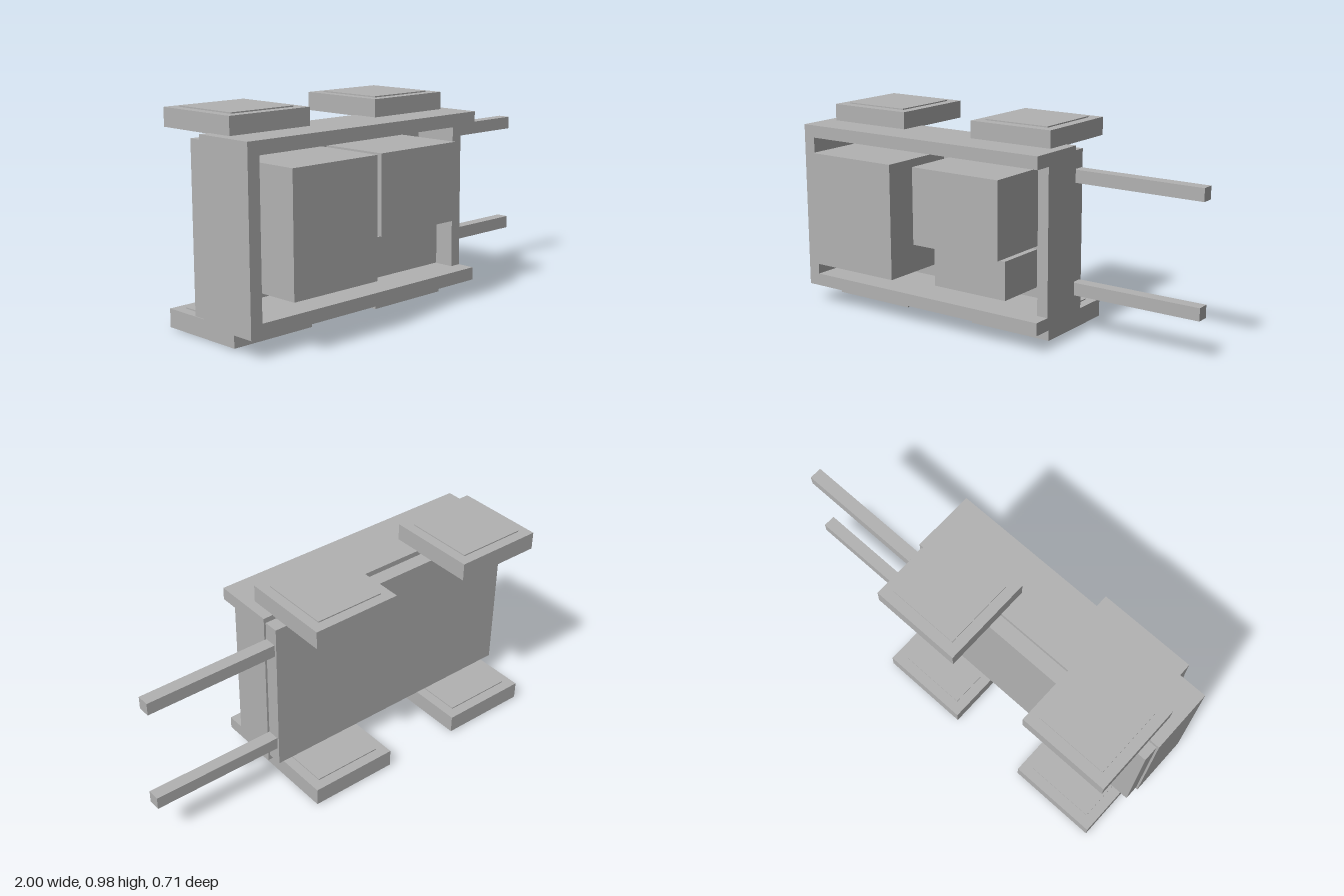
import * as THREE from 'three';

const grey = new THREE.MeshStandardMaterial({ color: 0xb2b2b2 });
grey.name = 'grey';

// Box given by its extents along each axis
function box(name, [x0, x1], [y0, y1], [z0, z1]) {
  const mesh = new THREE.Mesh(new THREE.BoxGeometry(x1 - x0, y1 - y0, z1 - z0), grey);
  mesh.position.set((x0 + x1) / 2, (y0 + y1) / 2, (z0 + z1) / 2);
  mesh.name = name;
  return mesh;
}

// Square wheel with a slightly proud hub plate on both faces
function wheel(name, x, y) {
  const group = new THREE.Group();
  group.name = name;
  group.add(
    box('tyre', [-0.218, 0.218], [-0.0425, 0.0425], [-0.22, 0.22]),
    box('hub', [-0.17, 0.17], [-0.048, 0.048], [-0.17, 0.17])
  );
  group.position.set(x, y, -0.135);
  return group;
}

export function createModel() {
  const cart = new THREE.Group();
  cart.name = 'cart';

  // Cart bed
  cart.add(box('bed', [-0.99, 0.355], [0.112, 0.868], [-0.12, -0.048]));

  // Side walls, tall end wall and lower end wall by the handles
  const depth = [-0.048, 0.256];
  cart.add(
    box('upperWall', [-1, 0.365], [0.833, 0.893], depth),
    box('lowerWall', [-1, 0.365], [0.087, 0.147], depth),
    box('tallEndWall', [-1, -0.94], [0.147, 0.833], depth),
    box('lowEndWall', [0.31, 0.365], [0.147, 0.833], [-0.048, 0.17])
  );

  // Cargo
  cart.add(
    box('largeCrate', [-0.855, -0.38], [0.237, 0.783], [-0.048, 0.355]),
    box('mediumCrate', [-0.295, 0.183], [0.408, 0.773], [-0.048, 0.296]),
    box('smallCrate', [-0.242, 0.16], [0.198, 0.382], [-0.048, 0.207])
  );

  // Handles and wheels, mirrored about the cart's middle plane
  for (const side of [-1, 1]) {
    const y = 0.49 + side * 0.263;
    cart.add(box('handle', [0.35, 1], [y - 0.03, y + 0.03], [-0.109, -0.049]));
    for (const x of [-0.732, 0.098]) cart.add(wheel('wheel', x, 0.49 + side * 0.442));
  }
  return cart;
}
